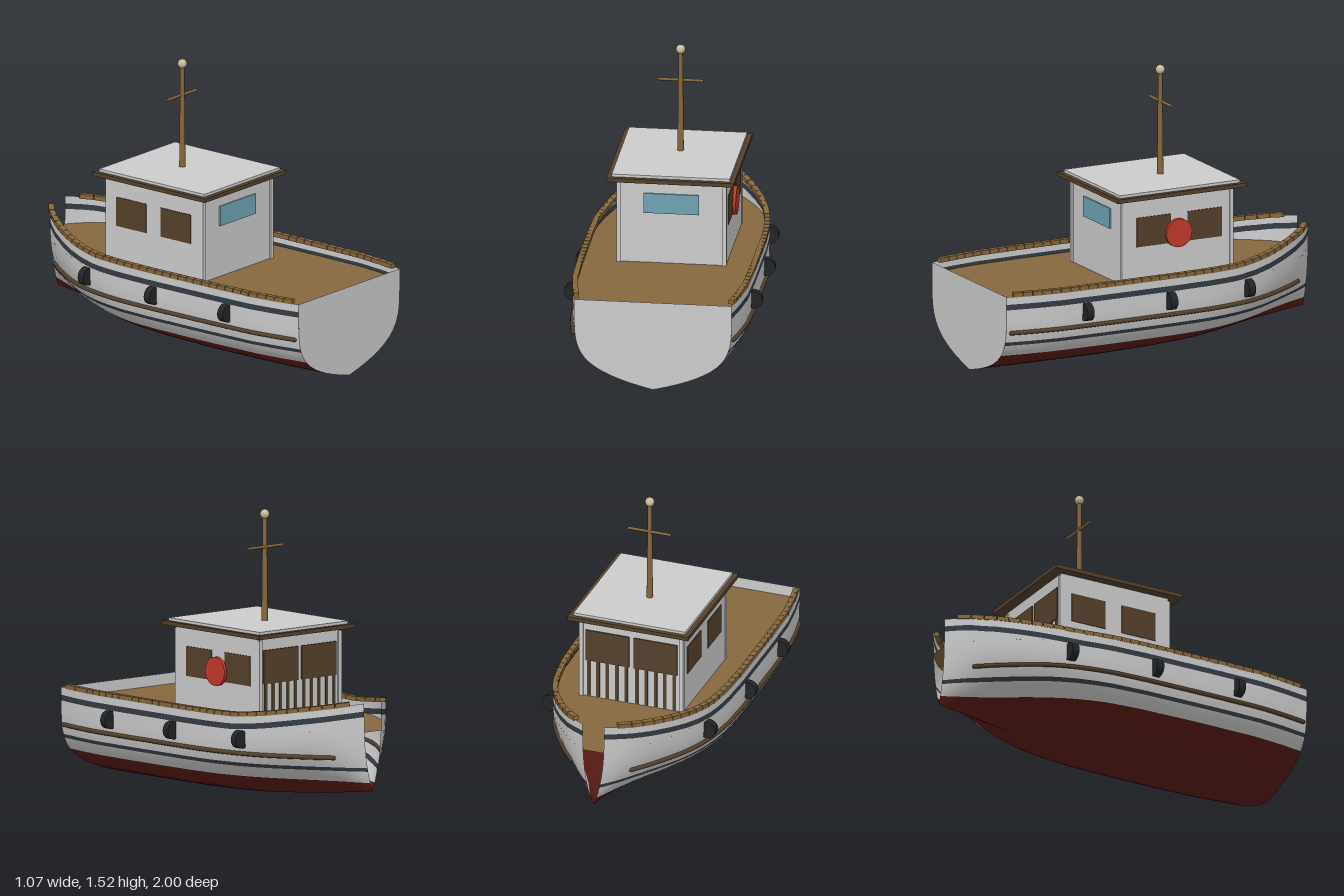
import * as THREE from 'three';

const lerp = THREE.MathUtils.lerp;
// Piecewise interpolation through [z, value] pairs with falling z
function along(table, z) {
  let i = 1;
  while (i < table.length - 1 && z < table[i][0]) i++;
  const [z0, v0] = table[i - 1], [z1, v1] = table[i];
  return lerp(v0, v1, (z0 - z) / (z0 - z1));
}
const BEAM = [[1, .42], [.85, .448], [.7, .467], [.45, .473], [0, .475], [-.2, .468], [-.3, .457], [-.4, .44], [-.5, .415],
  [-.6, .378], [-.7, .327], [-.8, .265], [-.9, .185], [-.95, .13], [-1, .06]];
const SHEER = [[1, .49], [-.38, .49], [-.5, .501], [-.6, .514], [-.7, .53], [-.85, .555], [-1, .585]];
const KEEL = [[1, 0], [.3, 0], [0, .008], [-.2, .02], [-.6, .058], [-1, .11]];
const beam = z => along(BEAM, z), sheer = z => along(SHEER, z), keel = z => along(KEEL, z);
const DECK = .43;

// Half width of the hull at station z and height y
function halfWidth(z, y) {
  const t = THREE.MathUtils.clamp((y - keel(z)) / (sheer(z) - keel(z)), 0, 1);
  const fullness = lerp(3, 5, THREE.MathUtils.smoothstep(z, -1, -.1));
  return beam(z) * (1 - Math.pow(1 - t, fullness));
}

// Surface from a grid of points: u runs stern to bow, v across
function grid(nu, nv, point, flip) {
  const pos = [], idx = [];
  for (let i = 0; i <= nu; i++) for (let j = 0; j <= nv; j++) pos.push(...point(i / nu, j / nv));
  for (let i = 0; i < nu; i++) for (let j = 0; j < nv; j++) {
    const a = i * (nv + 1) + j, b = a + nv + 1;
    if (flip) idx.push(a, a + 1, b, b, a + 1, b + 1);
    else idx.push(a, b, a + 1, b, b + 1, a + 1);
  }
  const g = new THREE.BufferGeometry();
  g.setAttribute('position', new THREE.Float32BufferAttribute(pos, 3));
  g.setIndex(idx);
  g.computeVertexNormals();
  return g;
}

export function createModel() {
  const boat = new THREE.Group();
  boat.name = 'boat';
  const mat = (color, side = THREE.FrontSide) => new THREE.MeshStandardMaterial({ color, side });
  const white = mat(0xcccccc), whiteThin = mat(0xcccccc, THREE.DoubleSide);
  const redThin = mat(0x5c1c16, THREE.DoubleSide), stripeThin = mat(0x353c44, THREE.DoubleSide);
  const deckWood = mat(0x86683f, THREE.DoubleSide), wood = mat(0x87673c), darkWood = mat(0x55402c);
  const rubber = mat(0x222426), red = mat(0xc0392b), glass = mat(0x6fa3b3), cream = mat(0xc9bd9c);

  function add(name, geometry, material, x = 0, y = 0, z = 0, parent = boat) {
    const m = new THREE.Mesh(geometry, material);
    m.name = name;
    m.position.set(x, y, z);
    parent.add(m);
    return m;
  }
  const box = (name, material, w, h, d, x, y, z) => add(name, new THREE.BoxGeometry(w, h, d), material, x, y, z);

  // Hull sides, in painted bands from keel to sheer
  const bands = [
    ['bottomPaint', redThin, keel, () => .155, 12],
    ['lowerTopside', whiteThin, () => .155, () => .218, 3],
    ['waterlineStripe', stripeThin, () => .218, () => .238, 1],
    ['topside', whiteThin, () => .238, z => sheer(z) - .072, 6],
    ['sheerStripe', stripeThin, z => sheer(z) - .072, z => sheer(z) - .042, 1],
    ['bulwark', whiteThin, z => sheer(z) - .042, sheer, 2],
  ];
  for (const s of [1, -1]) for (const [name, material, low, high, rows] of bands) {
    add(name, grid(40, rows, (u, v) => {
      const z = 1 - 2 * u, y = lerp(low(z), high(z), v);
      return [s * halfWidth(z, y), y, z];
    }, s < 0), material);
  }

  // Transom closing the stern
  const section = [];
  for (let i = 0; i <= 20; i++) {
    const y = .49 * Math.pow(i / 20, 1.6);
    section.push(new THREE.Vector2(halfWidth(1, y), y));
  }
  const outline = [...section, ...section.slice(1).reverse().map(p => new THREE.Vector2(-p.x, p.y))];
  add('transom', new THREE.ShapeGeometry(new THREE.Shape(outline)), whiteThin, 0, 0, 1);

  // Deck
  add('deck', grid(40, 2, (u, v) => {
    const z = 1 - 2 * u;
    return [(2 * v - 1) * halfWidth(z, DECK), DECK, z];
  }, true), deckWood);

  // Cap rail pieces, rub rail and fenders on both sides
  for (const s of [1, -1]) {
    const cap = new THREE.Group();
    cap.name = 'capRail';
    boat.add(cap);
    const railPoint = z => new THREE.Vector3(s * (beam(z) - .014), sheer(z) + .008, z);
    const count = 36;
    for (let i = 0; i < count; i++) {
      const a = railPoint(lerp(.96, -.95, i / count)), b = railPoint(lerp(.96, -.95, (i + 1) / count));
      const piece = add('capRailPiece', new THREE.BoxGeometry(.03, .024, a.distanceTo(b) * .94), wood, 0, 0, 0, cap);
      piece.position.copy(a).lerp(b, .5);
      piece.lookAt(b);
    }
    const path = [];
    for (let i = 0; i <= 24; i++) {
      const z = lerp(.975, -.88, i / 24);
      path.push(new THREE.Vector3(s * (halfWidth(z, .292) + .006), .292, z));
    }
    add('rubRail', new THREE.TubeGeometry(new THREE.CatmullRomCurve3(path), 60, .012, 8), darkWood);
    for (const end of [path[0], path[24]]) add('rubRailEnd', new THREE.SphereGeometry(.012, 8, 6), darkWood, end.x, end.y, end.z);
    for (const z of [.55, .05, -.44])
      add('fender', new THREE.CylinderGeometry(.048, .048, .04, 20).rotateX(Math.PI / 2), rubber, s * (beam(z) + .01), .37, z);
  }

  // Cabin
  box('cabin', white, .58, .465, .65, 0, DECK + .2325, -.095);
  for (const x of [-.282, .282]) for (const z of [.228, -.418])
    box('cornerPost', white, .022, .45, .022, x, DECK + .225, z);
  box('aftWindow', glass, .295, .11, .01, 0, .765, .233);
  for (const s of [1, -1]) {
    for (const z of [.05, -.255]) box('sideWindow', darkWood, .008, .16, .205, s * .29, .71, z);
    box('forwardWindow', darkWood, .245, .18, .012, s * .135, .735, -.421);
    // Dark battens under the forward windows
    for (let i = 0; i < 5; i++) box('batten', darkWood, .018, .21, .008, s * (.03 + i * .053), .54, -.421);
  }

  // Life buoy on the left wall
  add('lifeBuoy', new THREE.CylinderGeometry(.077, .077, .02, 32).rotateZ(Math.PI / 2), red, .3, .682, -.095);

  // Roof
  box('roofTrim', darkWood, .68, .022, .77, 0, .905, -.095);
  box('roofPanel', white, .63, .016, .72, 0, .923, -.095);

  // Mast
  add('mast', new THREE.CylinderGeometry(.011, .017, .57, 14), wood, 0, 1.215, -.145);
  add('yard', new THREE.CylinderGeometry(.008, .008, .245, 10).rotateZ(Math.PI / 2), wood, 0, 1.325, -.15);
  add('mastBall', new THREE.SphereGeometry(.025, 18, 12), cream, 0, 1.5, -.145);

  return boat;
}
